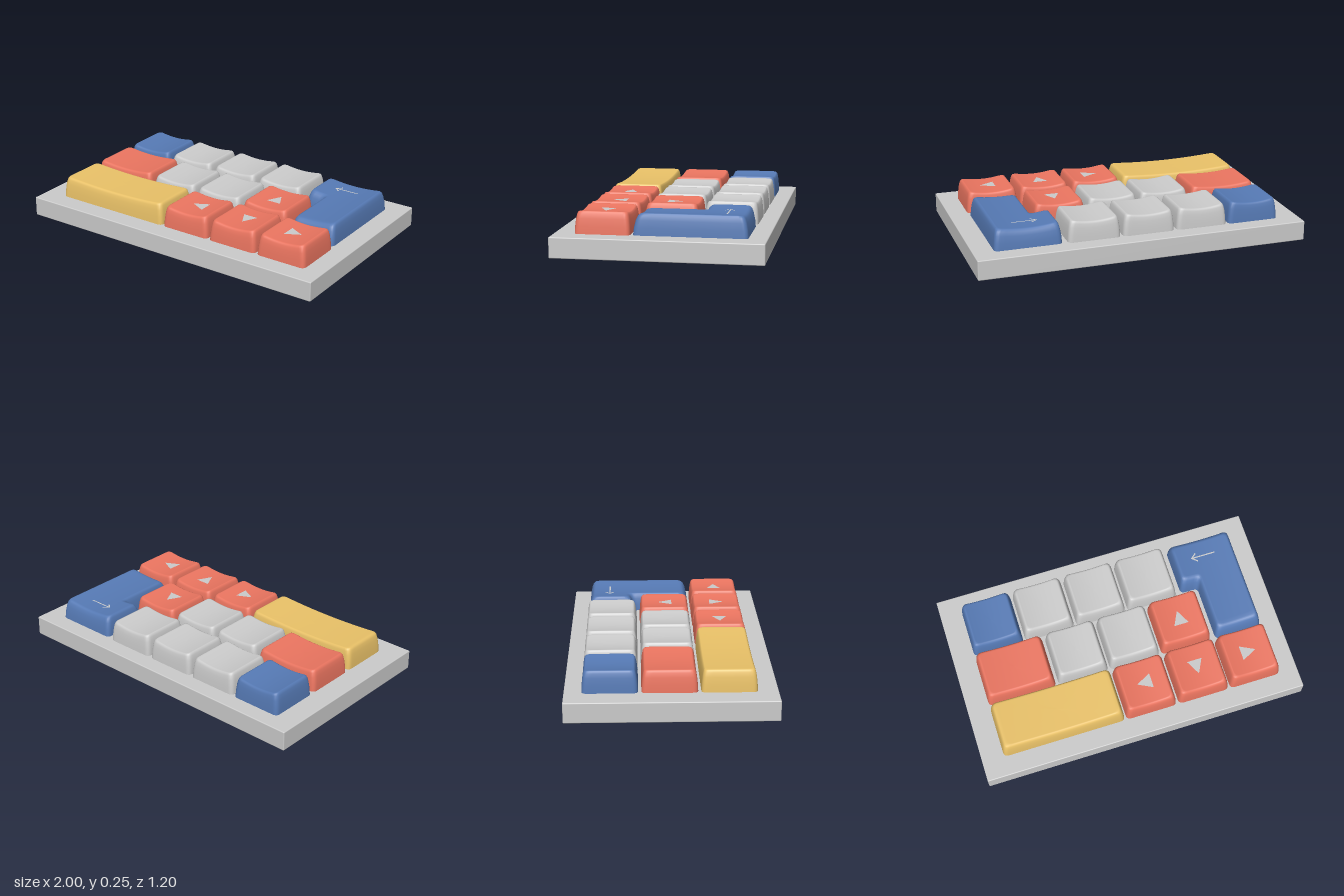
import * as THREE from 'three';
import { RoundedBoxGeometry } from 'three/addons/geometries/RoundedBoxGeometry.js';

const BASE_TOP = 0.12;
const DISH = 0.015;
const material = (color) => new THREE.MeshStandardMaterial({ color });
const GREY = material(0xcccccc);
const BLUE = material(0x567ab5);
const RED = material(0xeb7560);
const YELLOW = material(0xeac268);

// Side profile of a cap: [share of the inset, share of the height]
const PROFILE = [[0, 0], [0.1, 0.35], [0.3, 0.68], [0.52, 0.88], [0.75, 0.97], [1, 1]];
const CAP_RINGS = [0.95, 0.8, 0.6, 0.4, 0.2, 0];

const rect = (x0, x1, z0, z1) => [[x0, z0], [x0, z1], [x1, z1], [x1, z0]];

// Moves every edge of a right-angled outline inwards by its own inset
function insetOutline(corners, inset, share) {
  const n = corners.length;
  return corners.map(([x, z], i) => {
    let px = x, pz = z;
    for (const [a, b] of [[corners[(i + n - 1) % n], corners[i]], [corners[i], corners[(i + 1) % n]]]) {
      const nx = Math.sign(b[1] - a[1]), nz = -Math.sign(b[0] - a[0]);
      px += nx * inset.side * share;
      pz += nz * (nz < 0 ? inset.front : inset.back) * share;
    }
    return new THREE.Vector2(px, pz);
  });
}

// Rounds the corners and subdivides the straight runs
function roundedRing(points, radius) {
  const n = points.length, ring = [];
  const toward = (a, b) => a.clone().add(b.clone().sub(a).setLength(radius));
  points.forEach((p, i) => {
    const next = points[(i + 1) % n];
    const end = toward(p, next);
    const curve = new THREE.QuadraticBezierCurve(toward(p, points[(i + n - 1) % n]), p, end);
    ring.push(...curve.getPoints(5));
    const stop = toward(next, p);
    for (let k = 1; k < 10; k++) ring.push(end.clone().lerp(stop, k / 10));
  });
  return ring;
}

// Height of the dished top at x
const dishedTop = (key, x) => key.top - DISH * (1 - Math.min(1, ((x - key.cx) / key.hw) ** 2));

function keyGeometry(key) {
  const rings = PROFILE.map(([share, h]) => ({
    h, pts: roundedRing(insetOutline(key.corners, key.inset, share), 0.03),
  }));
  const rim = rings[rings.length - 1].pts;
  const middle = new THREE.Vector2(...key.middle);
  for (const s of CAP_RINGS) rings.push({ h: 1, pts: rim.map((p) => middle.clone().lerp(p, s)) });

  const positions = [], index = [], n = rim.length;
  rings.forEach(({ h, pts }, r) => pts.forEach((p, j) => {
    positions.push(p.x, BASE_TOP + h * (dishedTop(key, p.x) - BASE_TOP), p.y);
    if (r === 0) return;
    const k = (j + 1) % n, a = (r - 1) * n, b = r * n;
    index.push(a + j, a + k, b + k);
    if (r < rings.length - 1) index.push(a + j, b + k, b + j);
  }));
  const geometry = new THREE.BufferGeometry();
  geometry.setAttribute('position', new THREE.Float32BufferAttribute(positions, 3));
  geometry.setIndex(index);
  geometry.computeVertexNormals();
  return geometry;
}

function makeKey(name, mat, corners, options = {}) {
  const xs = corners.map((c) => c[0]), zs = corners.map((c) => c[1]);
  const x0 = Math.min(...xs), x1 = Math.max(...xs);
  const key = {
    corners, cx: (x0 + x1) / 2, hw: (x1 - x0) / 2 - 0.025, top: 0.248,
    middle: [(x0 + x1) / 2, (Math.min(...zs) + Math.max(...zs)) / 2],
    inset: { side: 0.026, front: 0.024, back: 0.02 }, ...options,
  };
  const group = new THREE.Group();
  group.name = name;
  const cap = new THREE.Mesh(keyGeometry(key), mat);
  cap.name = name + 'Cap';
  group.add(cap);
  // Flat direction mark lying on the dish
  if (key.mark) {
    const mark = new THREE.Mesh(new THREE.ShapeGeometry(new THREE.Shape(
      key.mark.map(([x, y]) => new THREE.Vector2(x, y)))), GREY);
    mark.name = name + 'Mark';
    const [mx, mz] = key.markAt || key.middle;
    mark.rotation.set(-Math.PI / 2, 0, key.turn || 0);
    mark.position.set(mx, dishedTop(key, mx) + 0.004, mz);
    group.add(mark);
  }
  return group;
}

export function createModel() {
  const model = new THREE.Group();
  model.name = 'miniKeyboard';

  // Base slab
  const base = new THREE.Mesh(new RoundedBoxGeometry(2, BASE_TOP, 1.2, 2, 0.006), GREY);
  base.name = 'base';
  base.position.y = BASE_TOP / 2;
  model.add(base);

  // Rows of keys: [name, material, x0, x1, turn of the direction mark]
  const triangle = [[-0.046, -0.045], [0.046, -0.045], [0, 0.045]];
  const rows = [
    [-0.5, -0.185, [
      ['cornerKey', BLUE, -0.865, -0.55],
      ['topKeyA', GREY, -0.537, -0.222],
      ['topKeyB', GREY, -0.207, 0.11],
      ['topKeyC', GREY, 0.125, 0.443]]],
    [-0.167, 0.15, [
      ['mediumKey', RED, -0.865, -0.44],
      ['middleKeyA', GREY, -0.423, -0.107],
      ['middleKeyB', GREY, -0.095, 0.223],
      ['upKey', RED, 0.237, 0.555, 0]]],
    [0.167, 0.483, [
      ['wideKey', YELLOW, -0.865, -0.105],
      ['leftArrowKey', RED, -0.095, 0.223, Math.PI / 2],
      ['downKey', RED, 0.237, 0.555, Math.PI],
      ['rightArrowKey', RED, 0.567, 0.885, -Math.PI / 2]]],
  ];
  for (const [z0, z1, keys] of rows) {
    for (const [name, mat, x0, x1, turn] of keys) {
      const options = turn === undefined ? {} : { mark: triangle, turn };
      model.add(makeKey(name, mat, rect(x0, x1, z0, z1), options));
    }
  }

  // L-shaped key with a thin arrow
  const corners = [[0.475, -0.493], [0.475, -0.2], [0.585, -0.2], [0.585, 0.153], [0.877, 0.153], [0.877, -0.493]];
  const arrow = [[-0.08, 0], [-0.045, -0.03], [-0.039, -0.024], [-0.063, -0.004], [0.075, -0.004],
    [0.075, 0.004], [-0.063, 0.004], [-0.039, 0.024], [-0.045, 0.03]];
  model.add(makeKey('returnKey', BLUE, corners, {
    top: 0.244, middle: [0.73, -0.33], inset: { side: 0.028, front: 0.05, back: 0.038 },
    mark: arrow, markAt: [0.67, -0.36],
  }));
  return model;
}
